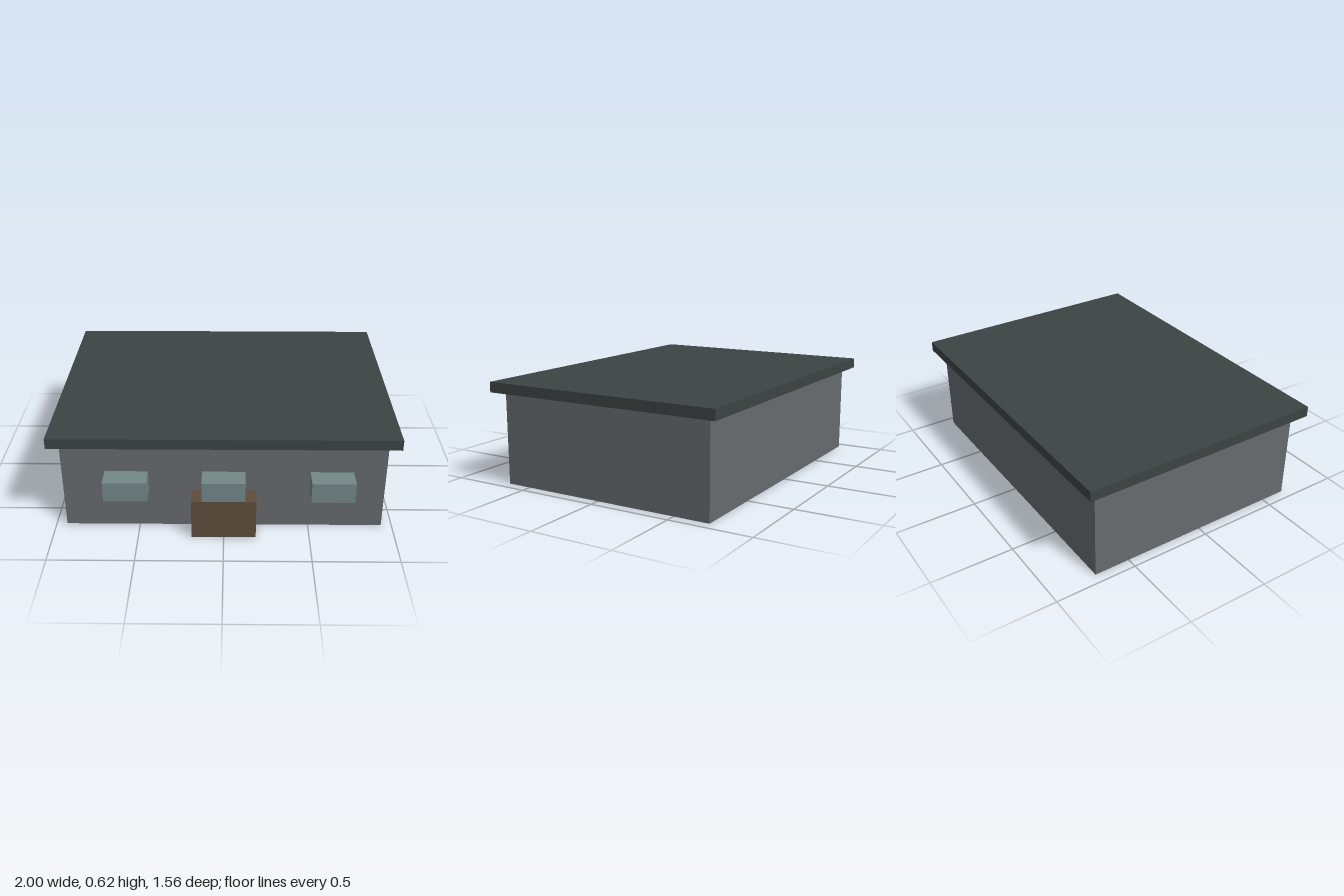
import * as THREE from 'three';

export function createModel() {
  const group = new THREE.Group();
  const mat = (name, color) => {
    const m = new THREE.MeshStandardMaterial({ color });
    m.name = name;
    return m;
  };
  const wallGrey = mat('wall grey', 0x666b6e);
  const roofSlate = mat('roof slate', 0x3c4343);
  const doorBrown = mat('door brown', 0x5e4b3a);
  const windowTeal = mat('window teal', 0x738888);

  // Box given by its lower and upper corners
  const box = (name, material, [x0, y0, z0], [x1, y1, z1]) => {
    const mesh = new THREE.Mesh(new THREE.BoxGeometry(x1 - x0, y1 - y0, z1 - z0), material);
    mesh.position.set((x0 + x1) / 2, (y0 + y1) / 2, (z0 + z1) / 2);
    mesh.name = name;
    group.add(mesh);
  };

  const wallFront = 0.656;
  const porchFront = 0.781;

  // Main block and overhanging flat roof
  box('walls', wallGrey, [-0.9375, 0, -0.719], [0.9375, 0.5625, wallFront]);
  box('roof', roofSlate, [-1, 0.5625, -0.781], [1, 0.625, 0.719]);

  // Projecting door block
  box('door', doorBrown, [-0.1875, 0, wallFront], [0.1875, 0.25, porchFront]);

  // Projecting window blocks, the middle one resting on the door
  const windows = [['rightWindow', -0.6875], ['middleWindow', -0.125], ['leftWindow', 0.5]];
  for (const [name, x] of windows) {
    box(name, windowTeal, [x, 0.25, wallFront], [x + 0.25, 0.375, porchFront]);
  }

  return group;
}
